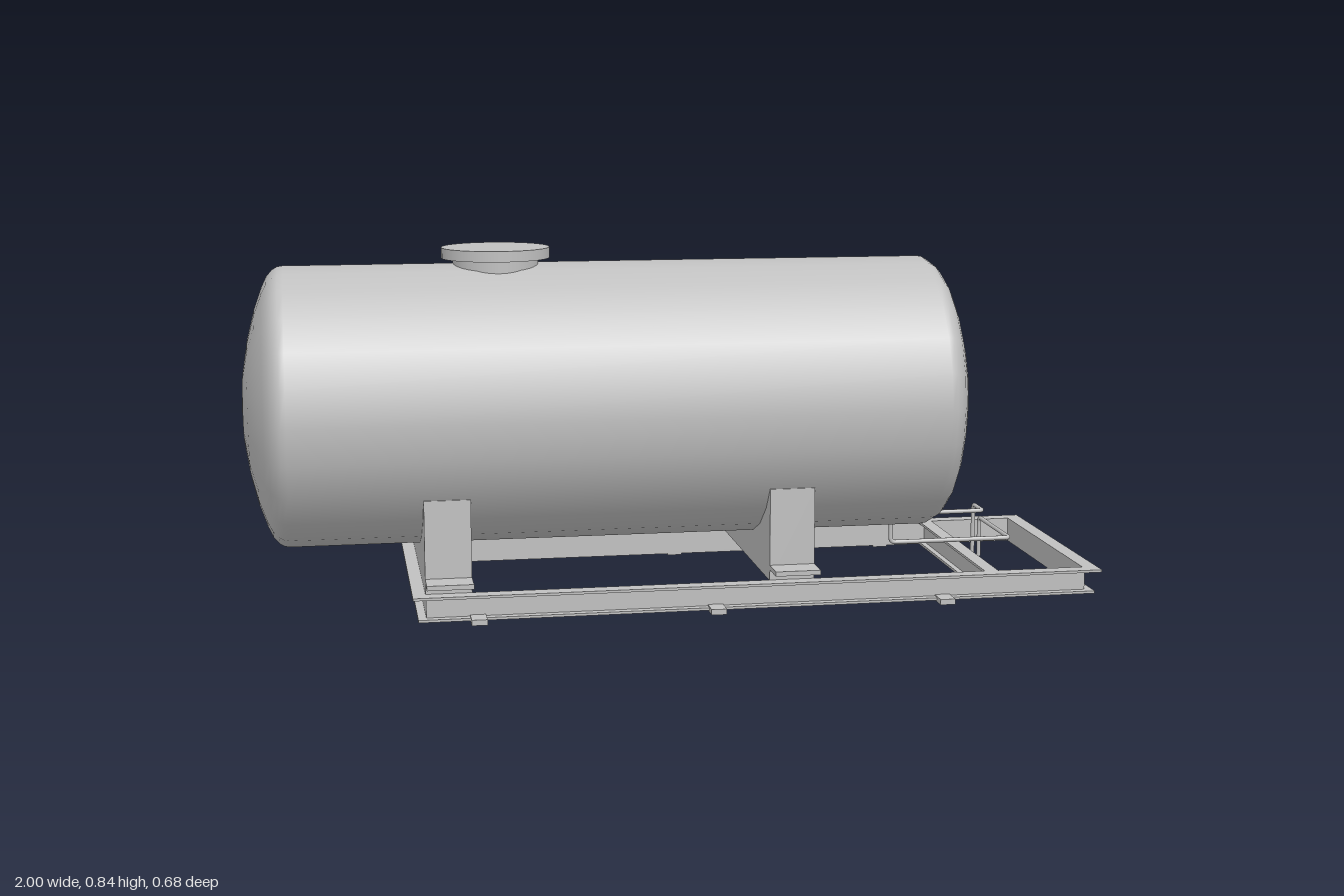
import * as THREE from 'three';

export function createModel() {
  const model = new THREE.Group();
  const steel = new THREE.MeshStandardMaterial({ color: 0xc0c0c0 });
  steel.name = 'grey steel';

  const add = (name, geometry, x = 0, y = 0, z = 0) => {
    const mesh = new THREE.Mesh(geometry, steel);
    mesh.name = name;
    mesh.position.set(x, y, z);
    model.add(mesh);
    return mesh;
  };
  // Box given by its limits on each axis
  const block = (name, x0, x1, y0, y1, z0, z1) =>
    add(name, new THREE.BoxGeometry(x1 - x0, y1 - y0, z1 - z0),
      (x0 + x1) / 2, (y0 + y1) / 2, (z0 + z1) / 2);

  // Tank shell: dished heads with rounded knuckles, turned about the x axis
  const zc = -0.003, yc = 0.473;
  const head = [[0, 0.72], [0.08, 0.716], [0.16, 0.703], [0.23, 0.685], [0.28, 0.667],
    [0.305, 0.655], [0.32, 0.642], [0.327, 0.63], [0.329, 0.617]];
  const mid = -0.14;
  const profile = [
    ...head.map(([r, x]) => new THREE.Vector2(r, 2 * mid - x)),
    ...head.slice().reverse().map(([r, x]) => new THREE.Vector2(r, x)),
  ];
  const shell = new THREE.LatheGeometry(profile, 24);
  shell.rotateZ(-Math.PI / 2);
  add('tank', shell, 0, yc, zc);

  // Manhole on top
  add('manholeNeck', new THREE.CylinderGeometry(0.1, 0.1, 0.08, 32), -0.405, 0.776, zc);
  add('manholeCover', new THREE.CylinderGeometry(0.127, 0.127, 0.025, 32), -0.405, 0.826, zc);

  // Skid frame: outward facing channel made of stacked rectangular rings
  const rect = (Type, x0, x1, z) => {
    const s = new Type();
    s.moveTo(x0, -z);
    s.lineTo(x1, -z);
    s.lineTo(x1, z);
    s.lineTo(x0, z);
    s.closePath();
    return s;
  };
  const innerX0 = -0.592, innerX1 = 0.962, innerZ = 0.272;
  const ring = (name, width, y0, y1) => {
    const s = rect(THREE.Shape, innerX0 - width, innerX1 + width, innerZ + width);
    s.holes.push(rect(THREE.Path, innerX0, innerX1, innerZ));
    const g = new THREE.ExtrudeGeometry(s, { depth: y1 - y0, bevelEnabled: false });
    g.rotateX(-Math.PI / 2);
    add(name, g, 0, y0, 0);
  };
  ring('frameBottomFlange', 0.024, 0.018, 0.024);
  ring('frameWeb', 0.005, 0.024, 0.072);
  ring('frameTopFlange', 0.036, 0.072, 0.078);

  // Cross member under the pipe end
  block('crossMemberTop', 0.72, 0.753, 0.072, 0.078, -innerZ, innerZ);
  block('crossMemberWeb', 0.734, 0.739, 0.024, 0.072, -innerZ, innerZ);
  block('crossMemberBottom', 0.72, 0.753, 0.018, 0.024, -innerZ, innerZ);

  // Saddles with foot plates on both sides
  for (const x of [-0.545, 0.252]) {
    const h = 0.053;
    block('saddle', x - h, x + h, 0.076, 0.293, -0.273, 0.273);
    for (const s of [-1, 1]) {
      const z = [s * 0.27, s * 0.338].sort((a, b) => a - b);
      block('saddleFoot', x - h, x + h, 0.102, 0.113, z[0], z[1]);
    }
  }

  // Small lugs along the bottom flange
  for (const x of [-0.48, 0.07, 0.615]) {
    for (const s of [-1, 1]) {
      const z = [s * 0.274, s * 0.325].sort((a, b) => a - b);
      block('frameLug', x - 0.018, x + 0.018, 0.014, 0.027, z[0], z[1]);
    }
  }

  // Drain pipes with rounded elbows
  const pipe = (name, corners) => {
    const pts = corners.map((c) => new THREE.Vector3(...c));
    const path = new THREE.CurvePath();
    let from = pts[0];
    for (let i = 1; i < pts.length - 1; i++) {
      const p = pts[i];
      const toward = (q) => p.clone().add(q.clone().sub(p).setLength(0.012));
      const a = toward(pts[i - 1]), b = toward(pts[i + 1]);
      path.add(new THREE.LineCurve3(from, a));
      path.add(new THREE.QuadraticBezierCurve3(a, p, b));
      from = b;
    }
    path.add(new THREE.LineCurve3(from, pts[pts.length - 1]));
    add(name, new THREE.TubeGeometry(path, 160, 0.0055, 10));
    // Closed lower end
    const end = pts[pts.length - 1];
    add(name + 'End', new THREE.CylinderGeometry(0.0055, 0.0055, 0.004, 10), end.x, end.y + 0.002, end.z);
  };
  pipe('lowerPipe', [[0.553, 0.17, 0.045], [0.553, 0.102, 0.045], [0.857, 0.102, 0.045],
    [0.857, 0.102, -0.192], [0.857, 0, -0.192]]);
  pipe('upperPipe', [[0.553, 0.18, -0.115], [0.553, 0.137, -0.115], [0.84, 0.137, -0.115],
    [0.84, 0.137, -0.192], [0.84, 0, -0.192]]);

  return model;
}
